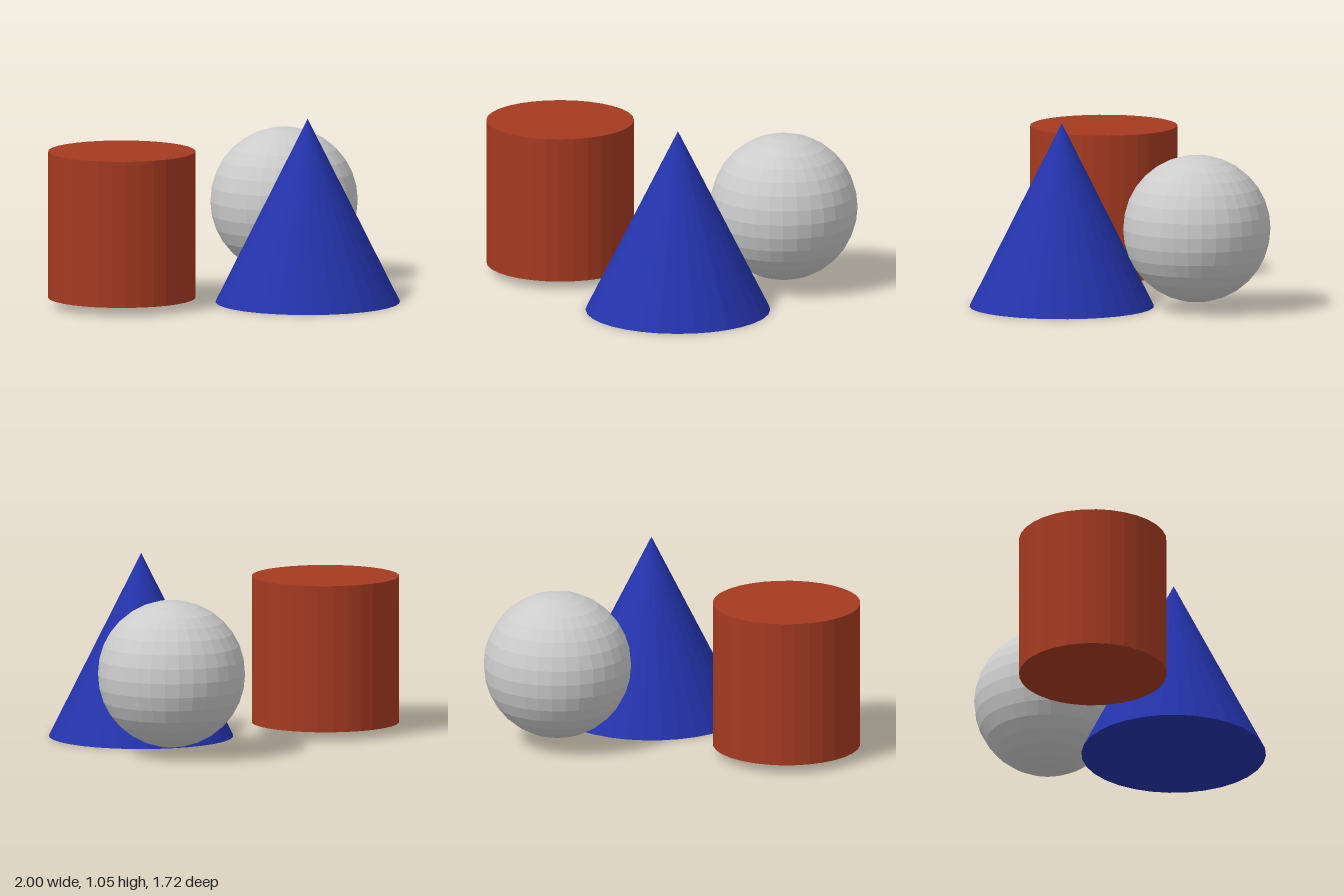
import * as THREE from 'three';

const R = 0.418; // shared radius of the cylinder and the sphere
const CONE_R = 0.523;

function addSolid(group, name, geometry, color, x, y, z) {
  const material = new THREE.MeshStandardMaterial({ color, flatShading: true });
  const mesh = new THREE.Mesh(geometry, material);
  mesh.name = name;
  mesh.position.set(x, y, z);
  group.add(mesh);
}

export function createModel() {
  const group = new THREE.Group();
  group.name = 'primitiveSolids';

  // Red cylinder, floating slightly above the ground
  addSolid(group, 'cylinder', new THREE.CylinderGeometry(R, R, 2 * R, 32), 0xa63a21, -0.582, 0.467, 0.23);

  // Blue cone standing on the ground
  addSolid(group, 'cone', new THREE.ConeGeometry(CONE_R, 2 * CONE_R, 32), 0x2433ac, 0.477, CONE_R, 0.337);

  // Grey faceted sphere at the back
  addSolid(group, 'sphere', new THREE.SphereGeometry(R, 32, 16), 0xcccccc, 0.54, 0.467, -0.442);

  return group;
}
